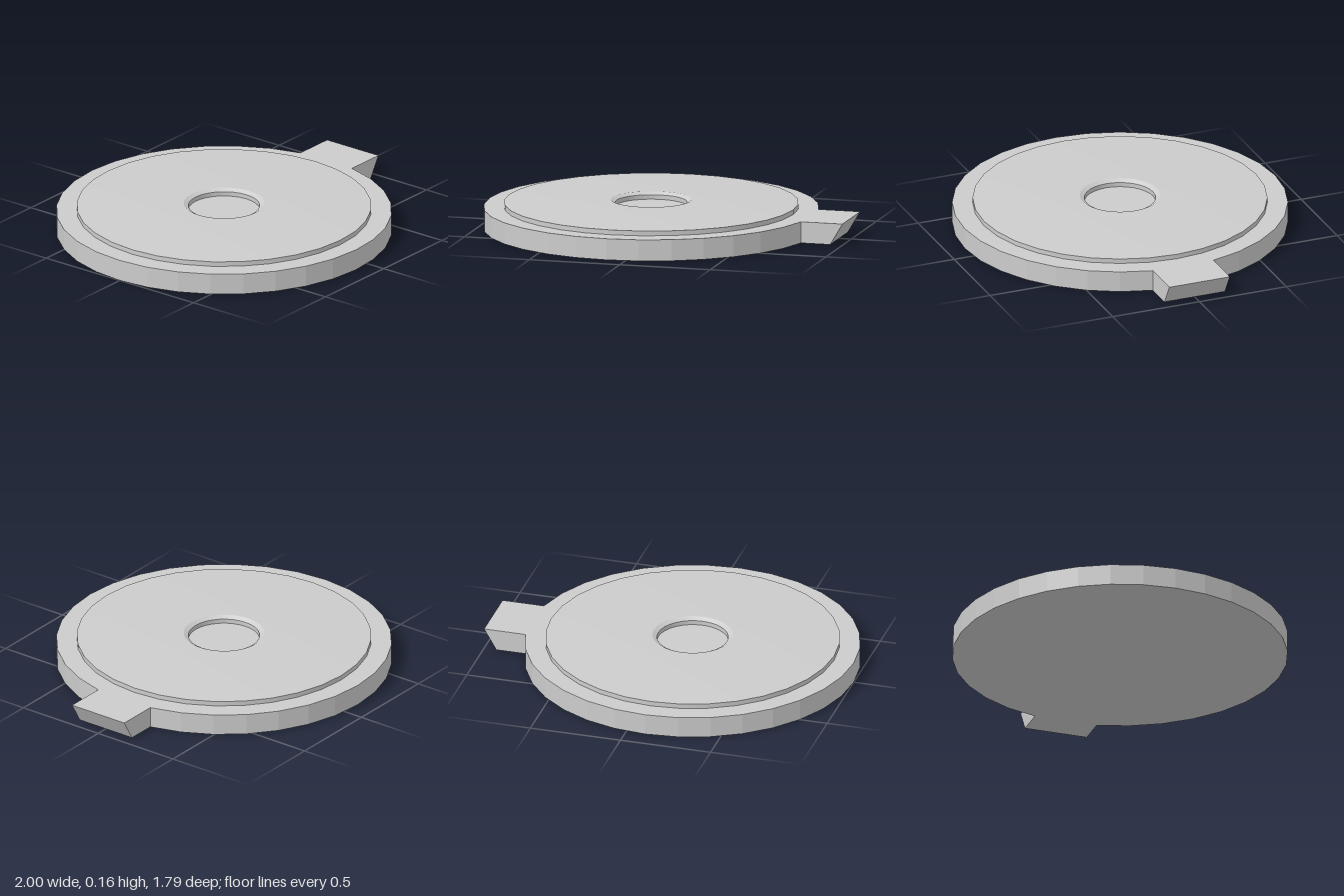
import * as THREE from 'three';
import { toCreasedNormals } from 'three/addons/utils/BufferGeometryUtils.js';

const SIDES = 32;
const CENTER_X = -0.106;
const RADIUS = 0.894;
const BASE_H = 0.115;

export function createModel() {
  const group = new THREE.Group();
  const smooth = new THREE.MeshStandardMaterial({ color: 0xcccccc });
  const flat = new THREE.MeshStandardMaterial({ color: 0xcccccc, flatShading: true });

  const add = (name, geometry, material, x = 0, y = 0, z = 0) => {
    const mesh = new THREE.Mesh(geometry, material);
    mesh.name = name;
    mesh.position.set(x, y, z);
    group.add(mesh);
  };

  // Faceted base disc
  add('baseDisc', new THREE.CylinderGeometry(RADIUS, RADIUS, BASE_H, SIDES), flat, CENTER_X, BASE_H / 2);

  // Shallow domed lid with a chamfered round recess in the middle
  const profile = [
    [0.785, BASE_H], [0.785, 0.141], [0.66, 0.146], [0.53, 0.15], [0.37, 0.154],
    [0.215, 0.156], [0.19, 0.142], [0.19, 0.118], [0, 0.118],
  ].map(([r, y]) => new THREE.Vector2(r, y));
  const lid = toCreasedNormals(new THREE.LatheGeometry(profile, SIDES), Math.PI / 6);
  add('domedLid', lid, smooth, CENTER_X);

  // Pull tab, one rim facet pair wide, undercut at its outer end
  const angle = (2 * Math.PI) / SIDES;
  const halfWidth = RADIUS * Math.sin(angle);
  const rootX = CENTER_X + RADIUS * Math.cos(angle);
  const side = new THREE.Shape([
    new THREE.Vector2(rootX, 0),
    new THREE.Vector2(0.932, 0),
    new THREE.Vector2(1, BASE_H),
    new THREE.Vector2(rootX, BASE_H),
  ]);
  const tab = new THREE.ExtrudeGeometry(side, { depth: 2 * halfWidth, bevelEnabled: false });
  add('pullTab', tab, flat, 0, 0, -halfWidth);

  return group;
}
